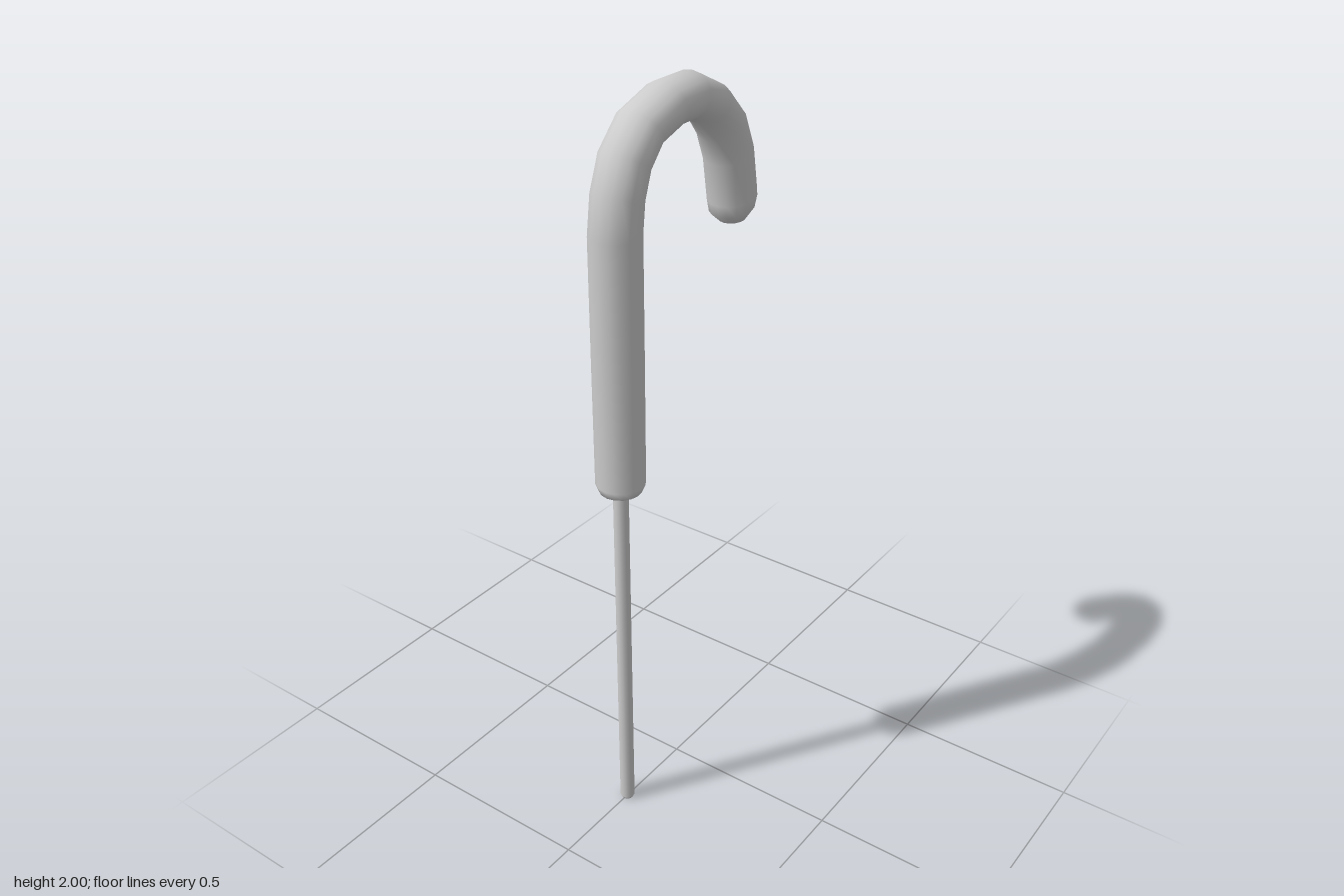
import * as THREE from 'three';

const SIDES = 16;
const material = new THREE.MeshStandardMaterial({ color: 0xcccccc });

// Smooth tube through oval rings, each [outerX, outerY, innerX, innerY, halfDepth], closed at both ends
function ringTube(rings) {
  const pos = [], index = [];
  for (const [ox, oy, ix, iy, depth] of rings) {
    for (let i = 0; i < SIDES; i++) {
      const a = (i / SIDES) * Math.PI * 2, t = (1 + Math.cos(a)) / 2;
      pos.push(ix + (ox - ix) * t, iy + (oy - iy) * t, depth * Math.sin(a));
    }
  }
  const last = rings.length - 1;
  for (let r = 0; r < last; r++) {
    for (let i = 0; i < SIDES; i++) {
      const j = (i + 1) % SIDES;
      const a = r * SIDES + i, b = r * SIDES + j, c = a + SIDES, d = b + SIDES;
      index.push(a, b, c, b, d, c);
    }
  }
  // flat end discs
  for (const r of [0, last]) {
    const [ox, oy, ix, iy] = rings[r], centre = pos.length / 3;
    pos.push((ox + ix) / 2, (oy + iy) / 2, 0);
    for (let i = 0; i < SIDES; i++) {
      const a = r * SIDES + i, b = r * SIDES + (i + 1) % SIDES;
      if (r === 0) index.push(centre, b, a);
      else index.push(centre, a, b);
    }
  }
  const geo = new THREE.BufferGeometry();
  geo.setAttribute('position', new THREE.Float32BufferAttribute(pos, 3));
  geo.setIndex(index);
  geo.computeVertexNormals();
  return geo;
}

export function createModel() {
  const group = new THREE.Group();
  const add = (name, geo) => {
    const mesh = new THREE.Mesh(geo, material);
    mesh.name = name;
    group.add(mesh);
    return mesh;
  };

  // Curved handle: rounded foot, straight grip, bend and rounded tip
  add('hookedHandle', ringTube([
    [-0.272, 1.008, -0.202, 1.008, 0.035],
    [-0.292, 1.018, -0.182, 1.018, 0.055],
    [-0.3, 1.04, -0.173, 1.04, 0.064],
    [-0.3, 1.38, -0.173, 1.38, 0.065],
    [-0.3, 1.69, -0.173, 1.69, 0.065],
    [-0.285, 1.795, -0.165, 1.76, 0.065],
    [-0.25, 1.885, -0.145, 1.82, 0.065],
    [-0.175, 1.96, -0.105, 1.868, 0.065],
    [-0.055, 2.0, -0.03, 1.89, 0.065],
    [0.06, 2.0, 0.03, 1.89, 0.065],
    [0.16, 1.95, 0.09, 1.866, 0.065],
    [0.235, 1.875, 0.13, 1.81, 0.065],
    [0.277, 1.78, 0.155, 1.745, 0.065],
    [0.3, 1.66, 0.172, 1.635, 0.064],
    [0.294, 1.627, 0.177, 1.605, 0.058],
    [0.275, 1.592, 0.203, 1.583, 0.036],
    [0.25, 1.579, 0.23, 1.577, 0.01],
  ]));

  // Thin shaft with a small bevel at the foot
  const profile = [[0, 0], [0.016, 0], [0.02, 0.008], [0.02, 1.03], [0, 1.03]]
    .map(([r, y]) => new THREE.Vector2(r, y));
  add('shaft', new THREE.LatheGeometry(profile, SIDES)).position.x = -0.237;

  return group;
}
